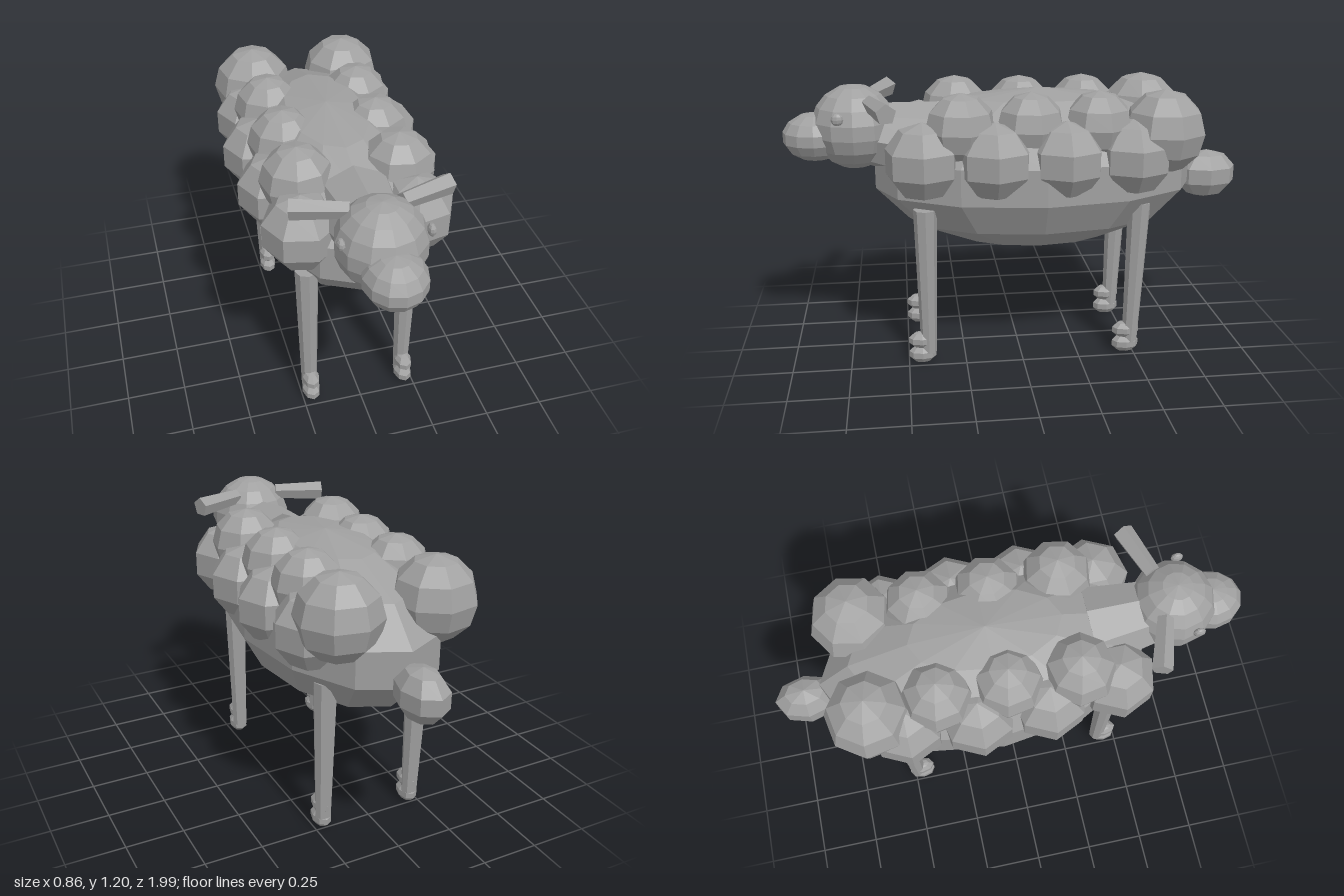
import * as THREE from 'three';

const grey = new THREE.MeshStandardMaterial({ color: 0xa0a0a0, flatShading: true });
grey.name = 'plain grey';

export function createModel() {
  const model = new THREE.Group();
  model.name = 'sheep';

  const add = (name, geometry) => {
    const mesh = new THREE.Mesh(geometry, grey);
    mesh.name = name;
    model.add(mesh);
    return mesh;
  };

  // Faceted ellipsoid with its poles along y
  const blob = (name, [x, y, z], [rx, ry, rz], around, rows, turn = 0) => {
    const geometry = new THREE.SphereGeometry(1, around, rows);
    geometry.rotateY(turn).scale(rx, ry, rz).translate(x, y, z);
    return add(name, geometry);
  };

  // Tapered prism between two points
  const limb = (name, from, to, r0, r1, sides) => {
    const a = new THREE.Vector3(...from);
    const b = new THREE.Vector3(...to);
    const dir = b.clone().sub(a);
    const mesh = add(name, new THREE.CylinderGeometry(r1, r0, dir.length(), sides));
    mesh.position.copy(a).add(b).multiplyScalar(0.5);
    mesh.quaternion.setFromUnitVectors(new THREE.Vector3(0, 1, 0), dir.normalize());
    return mesh;
  };

  // Body and tail
  blob('body', [0, 0.82, -0.085], [0.385, 0.35, 0.72], 12, 7);
  blob('tail', [0, 0.76, -0.86], [0.098, 0.11, 0.14], 8, 5);

  // Neck, head and muzzle
  limb('neck', [0, 0.94, 0.36], [0, 0.99, 0.66], 0.18, 0.13, 8);
  blob('head', [0, 1.02, 0.695], [0.18, 0.18, 0.18], 12, 9);
  blob('muzzle', [0, 0.98, 0.86], [0.126, 0.104, 0.14], 12, 7);

  // Wool tufts: [x, y, z, radius]
  const upperWool = [
    [0.21, 1.01, -0.6, 0.178],
    [0.2, 1.04, -0.32, 0.148],
    [0.2, 1.04, -0.035, 0.148],
    [0.21, 1.04, 0.255, 0.152],
  ];
  const lowerWool = [
    [0.25, 0.915, -0.465, 0.165],
    [0.275, 0.915, -0.175, 0.165],
    [0.27, 0.915, 0.12, 0.165],
    [0.235, 0.915, 0.415, 0.165],
  ];

  for (const side of [1, -1]) {
    const label = side > 0 ? 'left' : 'right';

    for (const [x, y, z, r] of upperWool) {
      blob(`${label}UpperWool`, [side * x, y, z], [r, r, r], 8, 6, 0.2 * side);
    }
    for (const [x, y, z, r] of lowerWool) {
      blob(`${label}LowerWool`, [side * x, y, z], [r, r, r], 7, 5, side > 0 ? Math.PI : 0);
    }

    // Ear and eye
    limb(`${label}Ear`, [side * 0.1, 1.135, 0.625], [side * 0.31, 1.13, 0.555], 0.034, 0.044, 5);
    blob(`${label}Eye`, [side * 0.17, 1.085, 0.755], [0.016, 0.026, 0.026], 8, 6);

    // Legs, ankles and feet: [name, top z, bottom z, foot z]
    for (const [name, topZ, lowZ, footZ] of [
      ['FrontLeg', 0.412, 0.412, 0.44],
      ['BackLeg', -0.505, -0.485, -0.465],
    ]) {
      limb(`${label}${name}`, [side * 0.212, 0.05, lowZ], [side * 0.215, 0.705, topZ], 0.034, 0.05, 8);
      blob(`${label}${name}Ankle`, [side * 0.212, 0.107, footZ], [0.038, 0.039, 0.062], 8, 5);
      blob(`${label}${name}Foot`, [side * 0.212, 0.042, footZ], [0.04, 0.042, 0.062], 8, 5);
    }
  }

  return model;
}
